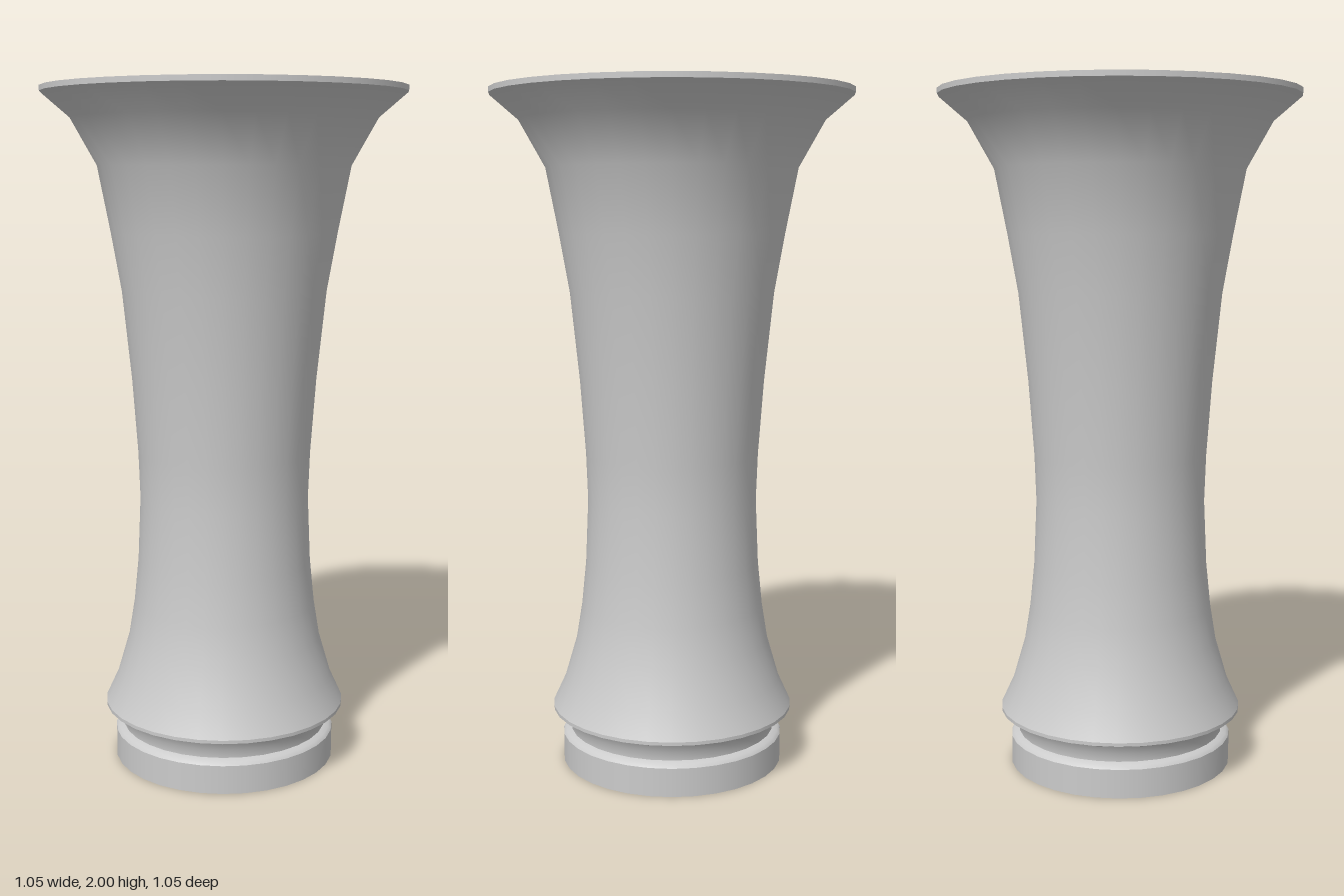
import * as THREE from 'three';

const SIDES = 32;

export function createModel() {
  const vase = new THREE.Group();
  vase.name = 'vase';
  const material = new THREE.MeshStandardMaterial({ color: 0xcccccc });

  // Each part is turned from its own [radius, height] profile, so joints stay sharp.
  const turn = (name, profile) => {
    const points = profile.map(([r, y]) => new THREE.Vector2(r, y));
    const mesh = new THREE.Mesh(new THREE.LatheGeometry(points, SIDES), material);
    mesh.name = name;
    vase.add(mesh);
  };

  // Foot: flat underside, upright band and its top ledge
  turn('footUnderside', [[0, 0], [0.333, 0]]);
  turn('footBand', [[0.333, 0], [0.333, 0.085]]);
  turn('footLedge', [[0.333, 0.085], [0.325, 0.095], [0.309, 0.1]]);

  // Recessed neck and the overhang above it
  turn('footNeck', [[0.309, 0.1], [0.311, 0.125], [0.325, 0.15]]);
  turn('bodyOverhang', [[0.325, 0.15], [0.362, 0.165]]);
  turn('bodyLip', [[0.362, 0.165], [0.362, 0.175]]);

  // Waisted body flaring to the mouth
  turn('body', [
    [0.362, 0.175], [0.325, 0.255], [0.29, 0.375], [0.273, 0.48], [0.26, 0.61],
    [0.252, 0.8], [0.257, 0.94], [0.273, 1.16], [0.3, 1.42], [0.33, 1.59],
    [0.367, 1.78], [0.443, 1.915], [0.525, 1.985],
  ]);

  // Thin rim, flat top ring
  turn('rimEdge', [[0.525, 1.985], [0.525, 2]]);
  turn('rimTop', [[0.525, 2], [0.22, 2]]);

  // Straight bore with a flat floor
  turn('boreWall', [[0.22, 2], [0.22, 0.19]]);
  turn('boreFloor', [[0.22, 0.19], [0, 0.19]]);

  return vase;
}
